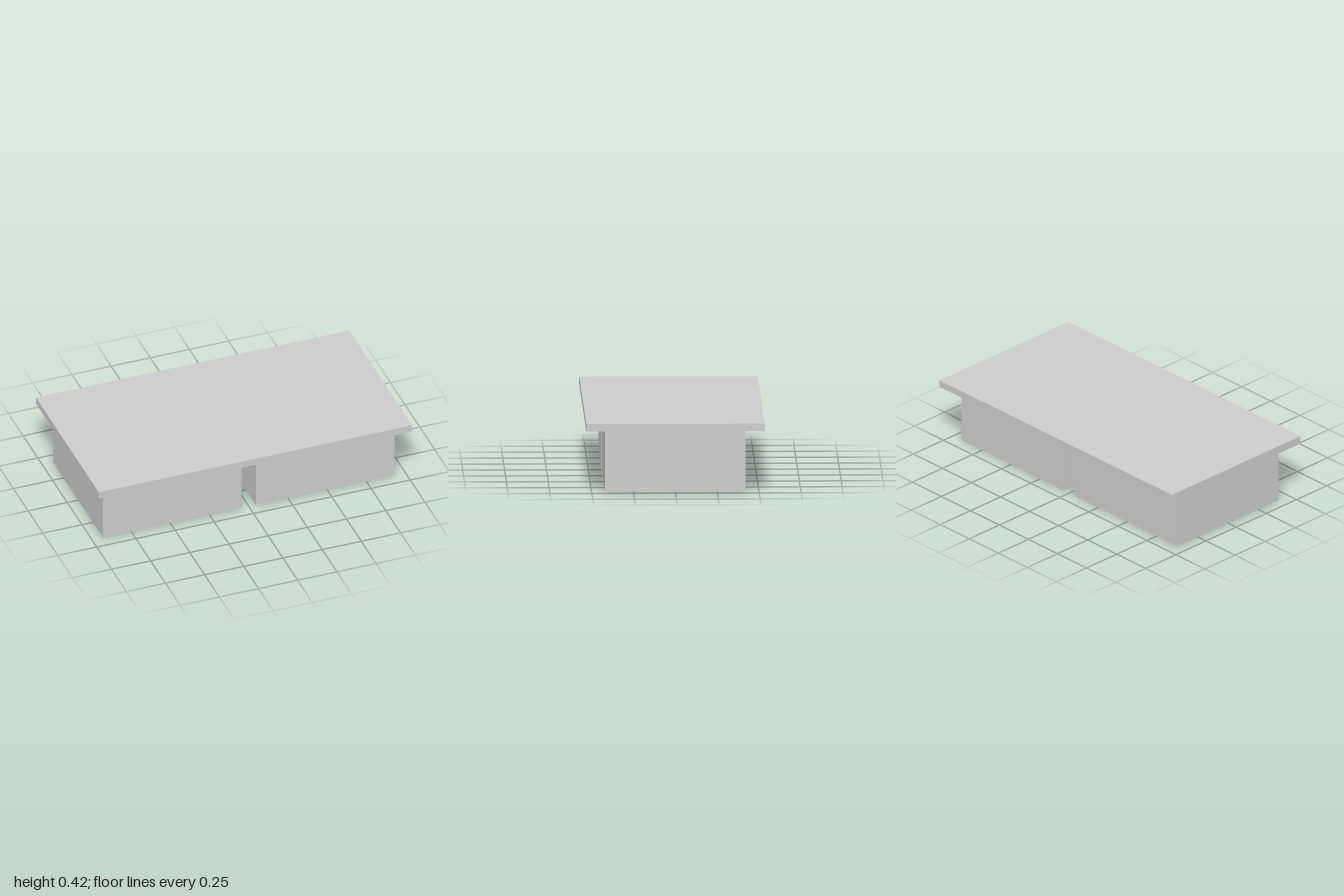
import * as THREE from 'three';

export function createModel() {
  const model = new THREE.Group();
  const grey = new THREE.MeshStandardMaterial({ color: 0xcccccc });
  grey.name = 'light grey';

  // Base block with a slot running through it from front to back
  const halfWidth = 0.93, depth = 0.84, baseTop = 0.374;
  const halfSlot = 0.045, slotTop = 0.306;
  const profile = new THREE.Shape([
    [-halfWidth, 0], [-halfSlot, 0], [-halfSlot, slotTop], [halfSlot, slotTop],
    [halfSlot, 0], [halfWidth, 0], [halfWidth, baseTop], [-halfWidth, baseTop],
  ].map(([x, y]) => new THREE.Vector2(x, y)));
  const baseGeometry = new THREE.ExtrudeGeometry(profile, { depth, bevelEnabled: false });
  baseGeometry.translate(0, 0, -depth / 2);
  const base = new THREE.Mesh(baseGeometry, grey);
  base.name = 'slottedBase';
  model.add(base);

  // Overhanging top slab
  const slabHeight = 0.044;
  const slab = new THREE.Mesh(new THREE.BoxGeometry(2, slabHeight, 1.066), grey);
  slab.name = 'topSlab';
  slab.position.y = baseTop + slabHeight / 2;
  model.add(slab);

  return model;
}
